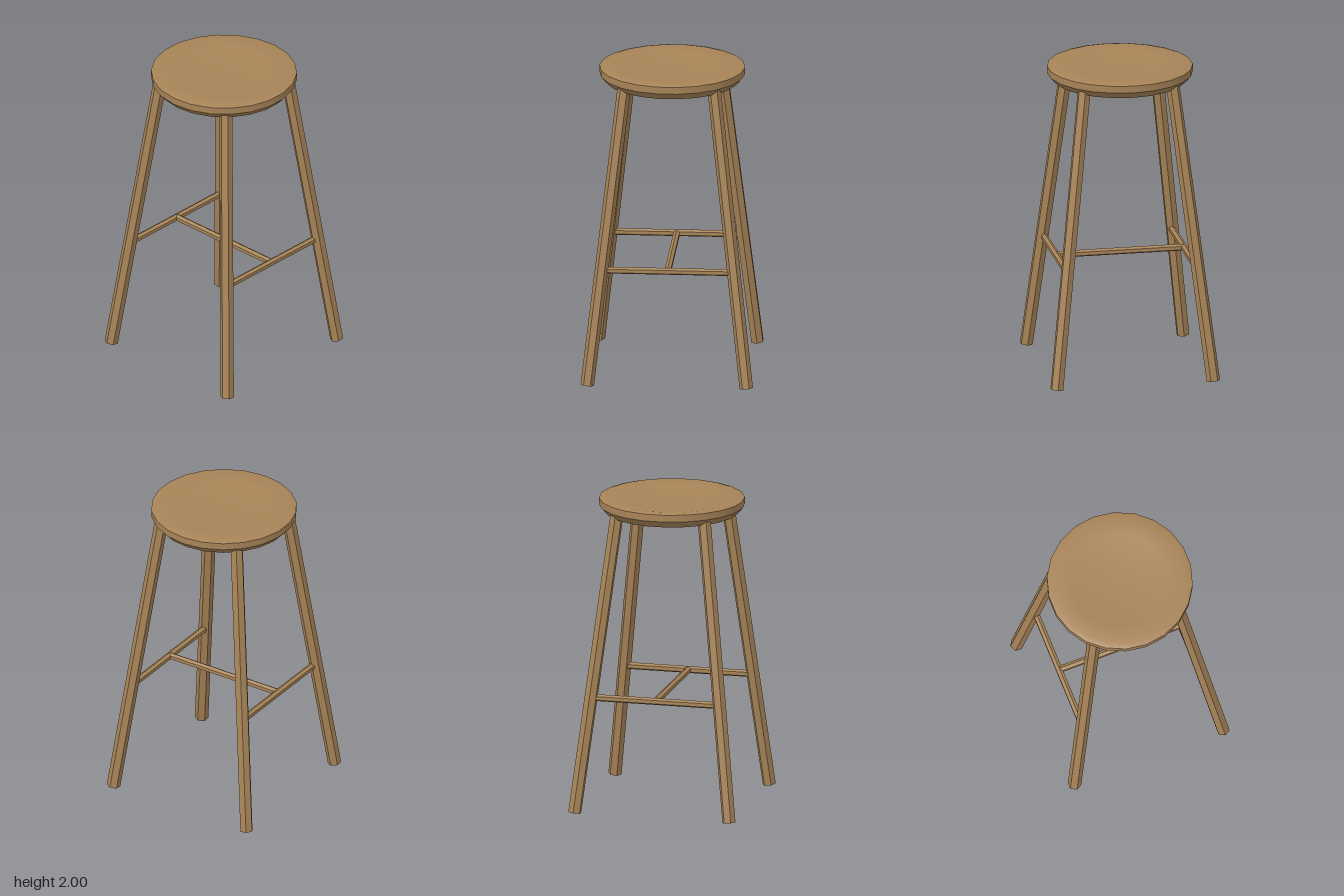
import * as THREE from 'three';
import { toCreasedNormals } from 'three/addons/utils/BufferGeometryUtils.js';

const wood = new THREE.MeshStandardMaterial({ color: 0xa88458 });
wood.name = 'warm wood';

// Hexagonal bar between two points, spun about its own axis
function hexBar(name, from, to, radius, spin = 0) {
  const axis = to.clone().sub(from);
  const geo = new THREE.CylinderGeometry(radius, radius, axis.length(), 6);
  geo.rotateY(spin);
  const mesh = new THREE.Mesh(toCreasedNormals(geo, 0.5), wood);
  mesh.name = name;
  mesh.position.copy(from).add(to).multiplyScalar(0.5);
  mesh.quaternion.setFromUnitVectors(new THREE.Vector3(0, 1, 0), axis.normalize());
  return mesh;
}

export function createModel() {
  const stool = new THREE.Group();
  stool.name = 'barStool';
  const V = (x, y, z) => new THREE.Vector3(x, y, z);

  // Dished round seat with a bevelled underside
  const profile = [
    [0, 1.9], [0.425, 1.9], [0.465, 1.945], [0.465, 1.99],
    [0.43, 2.0], [0.31, 1.99], [0.185, 1.977], [0, 1.975],
  ].map(([r, y]) => new THREE.Vector2(r, y));
  const seatGeo = new THREE.LatheGeometry(profile, 22);
  seatGeo.rotateY(Math.PI / 2);
  const seat = new THREE.Mesh(toCreasedNormals(seatGeo, 0.5), wood);
  seat.name = 'seat';
  stool.add(seat);

  // Four splayed legs
  for (const sx of [-1, 1]) {
    for (const sz of [-1, 1]) {
      const name = (sz > 0 ? 'front' : 'back') + (sx > 0 ? 'Left' : 'Right') + 'Leg';
      const spin = sx > 0 && sz < 0 ? 0 : Math.PI / 6;
      stool.add(hexBar(name, V(sx * 0.508, 0.007, sz * 0.508), V(sx * 0.288, 1.92, sz * 0.288), 0.043, spin));
    }
  }

  // Front and back rails joined by a middle stretcher
  const y = 0.748, reach = 0.415;
  for (const sz of [-1, 1]) {
    stool.add(hexBar(sz > 0 ? 'frontRail' : 'backRail',
      V(-reach, y, sz * reach), V(reach, y, sz * reach), 0.0225, Math.PI / 6));
  }
  stool.add(hexBar('middleStretcher', V(0, y, -reach), V(0, y, reach), 0.0225));
  return stool;
}
